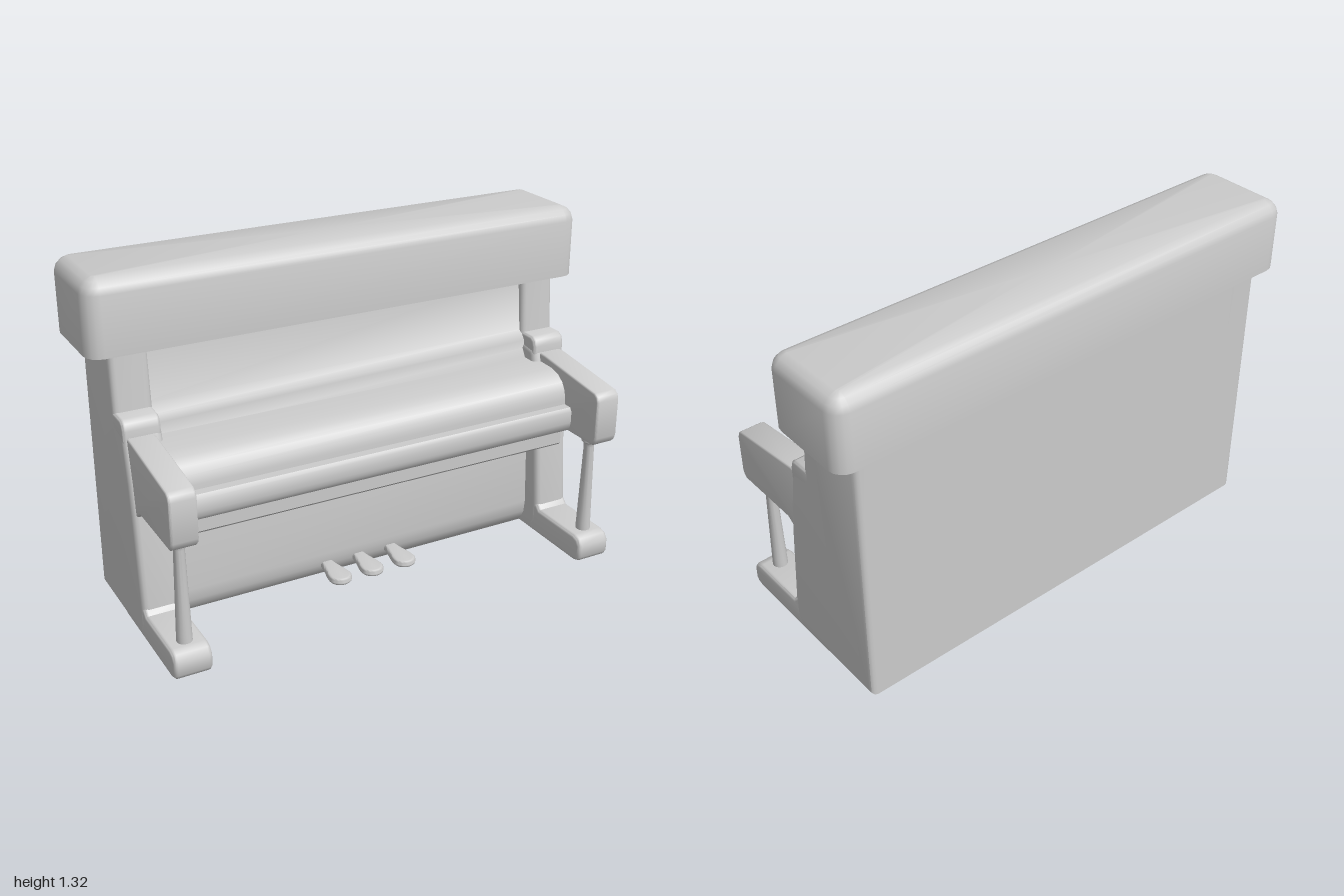
import * as THREE from 'three';
import { toCreasedNormals } from 'three/addons/utils/BufferGeometryUtils.js';

const material = new THREE.MeshStandardMaterial({ color: 0xcccccc });

function mesh(name, geometry, parent, crease = 0.75) {
  const m = new THREE.Mesh(toCreasedNormals(geometry, crease), material);
  m.name = name;
  parent.add(m);
  return m;
}

// Side profile given as [z, y] points, extruded along x and centred on x = 0
function slab(points, width, bevel = 0) {
  const shape = new THREE.Shape(points.map(([z, y]) => new THREE.Vector2(z, y)));
  const depth = width - 2 * bevel;
  const g = new THREE.ExtrudeGeometry(shape, {
    depth, bevelEnabled: bevel > 0, bevelThickness: bevel,
    bevelSize: bevel, bevelOffset: -bevel, bevelSegments: 3,
  });
  return g.translate(0, 0, -depth / 2).rotateY(-Math.PI / 2);
}

// Rounded rectangle rings stacked as [y, inset]; both ends closed
function stackedBlock(hx, hz, radius, levels) {
  const outline = [];
  for (let c = 0; c < 4; c++) {
    const sx = c === 0 || c === 3 ? 1 : -1, sz = c < 2 ? 1 : -1;
    for (let i = 0; i <= 4; i++) {
      const a = (c + i / 4) * Math.PI / 2;
      outline.push([sx * (hx - radius), sz * (hz - radius), Math.cos(a), Math.sin(a)]);
    }
  }
  const n = outline.length, pos = [], idx = [];
  const first = levels[0], last = levels[levels.length - 1];
  const rings = [[...first, 0], ...levels.map((l) => [...l, 1]), [...last, 0]];
  for (const [y, inset, s] of rings)
    for (const [x, z, dx, dz] of outline)
      pos.push(s * (x + dx * (radius - inset)), y, s * (z + dz * (radius - inset)));
  for (let r = 0; r < rings.length - 1; r++)
    for (let i = 0; i < n; i++) {
      const a = r * n + i, b = r * n + (i + 1) % n;
      idx.push(a, a + n, b, b, a + n, b + n);
    }
  const g = new THREE.BufferGeometry();
  g.setAttribute('position', new THREE.Float32BufferAttribute(pos, 3));
  g.setIndex(idx);
  return g;
}

function createSide(sign) {
  const side = new THREE.Group();
  side.name = sign > 0 ? 'leftSide' : 'rightSide';

  // Upright end panel, leaning back towards the top
  mesh('endPanel', slab([
    [-0.37, 0], [0.08, 0], [0.11, 0.05], [0.11, 0.12], [0.075, 0.48], [0.06, 0.6], [0.03, 0.76],
    [0.02, 0.78], [-0.052, 0.79], [-0.075, 1.07], [-0.37, 1.07],
  ], 0.145, 0.022), side).position.x = sign * 0.848;

  // Rounded shoulder above the arm
  mesh('shoulder', slab([
    [-0.16, 0.74], [0.028, 0.74], [0.028, 0.79], [0.02, 0.815], [0, 0.828], [-0.16, 0.828],
  ], 0.14, 0.012), side).position.x = sign * 0.85;

  // Arm beside the keyboard
  mesh('arm', slab([
    [-0.05, 0.45], [0.07, 0.48], [0.11, 0.508], [0.39, 0.508], [0.402, 0.52], [0.41, 0.54],
    [0.41, 0.69], [0.402, 0.71], [0.385, 0.722], [0.06, 0.763], [-0.05, 0.765],
  ], 0.1, 0.008), side).position.x = sign * 0.857;

  // Foot running forward under the leg
  mesh('foot', slab([
    [-0.1, 0], [0.365, 0], [0.39, 0.008], [0.402, 0.025], [0.402, 0.075], [0.385, 0.1],
    [0.355, 0.109], [0.125, 0.109], [0.105, 0.13], [-0.1, 0.13],
  ], 0.142, 0.014), side).position.x = sign * 0.848;

  // Turned front leg with a flared top
  const leg = [[0.029, 0.1], [0.028, 0.14], [0.02, 0.47], [0.022, 0.485], [0.031, 0.493], [0.031, 0.515]];
  mesh('frontLeg', new THREE.LatheGeometry(leg.map(([r, y]) => new THREE.Vector2(r, y)), 16), side)
    .position.set(sign * 0.85, 0, 0.323);
  return side;
}

export function createModel() {
  const piano = new THREE.Group();
  piano.name = 'uprightPiano';

  // Thick overhanging top with softened upper edges
  mesh('topLid', stackedBlock(1, 0.19, 0.06, [
    [1.043, 0], [1.265, 0], [1.29, 0.008], [1.308, 0.025], [1.32, 0.05],
  ]), piano).position.z = -0.22;

  // Case between the end panels: lower panel, back and upper panel
  mesh('case', slab([
    [-0.37, 0], [-0.02, 0], [0.005, 0.025], [0.022, 0.06], [0.028, 0.11], [0.01, 0.46],
    [-0.02, 0.72], [-0.045, 0.765], [-0.045, 0.8], [-0.075, 0.835], [-0.1, 1.07], [-0.37, 1.07],
  ], 1.7), piano);

  // Closed keyboard cover with a curved front
  mesh('keyboardCover', slab([
    [-0.1, 0.55], [0.21, 0.55], [0.21, 0.63], [0.203, 0.665], [0.185, 0.695],
    [0.155, 0.717], [0.11, 0.729], [-0.03, 0.732], [-0.1, 0.732],
  ], 1.63), piano);
  mesh('keyRail', slab([
    [-0.05, 0.51], [0.235, 0.51], [0.25, 0.528], [0.255, 0.55], [0.255, 0.595],
    [0.245, 0.611], [-0.05, 0.611],
  ], 1.63), piano);
  mesh('keyBed', slab([
    [-0.05, 0.435], [0.195, 0.435], [0.205, 0.445], [0.205, 0.52], [-0.05, 0.52],
  ], 1.6), piano);

  for (const sign of [-1, 1]) piano.add(createSide(sign));

  // Three pedals, wider at the tip
  for (const x of [-0.145, -0.007, 0.135]) {
    const shape = new THREE.Shape();
    shape.moveTo(-0.022, 0);
    shape.bezierCurveTo(-0.022, 0.06, -0.042, 0.09, -0.042, 0.13);
    shape.absarc(0, 0.13, 0.042, Math.PI, 0, true);
    shape.bezierCurveTo(0.042, 0.09, 0.022, 0.06, 0.022, 0);
    const g = new THREE.ExtrudeGeometry(shape, {
      depth: 0.006, bevelThickness: 0.011, bevelSize: 0.011, bevelOffset: -0.008, bevelSegments: 3, curveSegments: 8,
    });
    mesh('pedal', g.rotateX(Math.PI / 2), piano, 1).position.set(x, 0.063, 0.003);
  }
  return piano;
}
